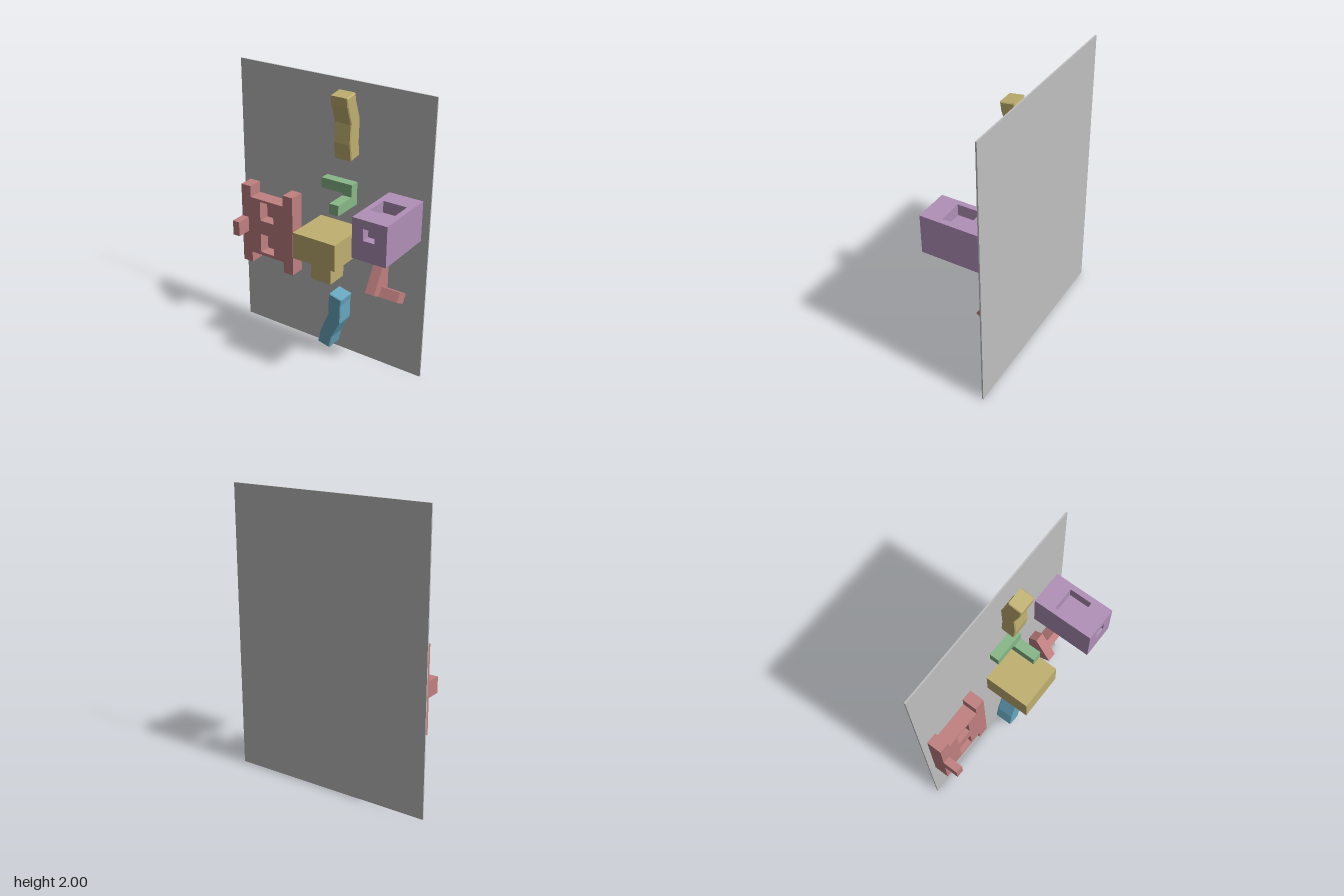
import * as THREE from 'three';
import { mergeGeometries } from 'three/addons/utils/BufferGeometryUtils.js';

const material = (name, color) => {
  const m = new THREE.MeshStandardMaterial({ color });
  m.name = name;
  return m;
};

const BACK = -0.217; // parts meet the panel here

const makeShape = (points) => new THREE.Shape(points.map(([x, y]) => new THREE.Vector2(x, y)));
const rect = (x0, x1, y0, y1) => [[x0, y0], [x1, y0], [x1, y1], [x0, y1]];

// Front outline, extruded from z0 to z1, with optional small bevel
function extrudeZ(shape, z0, z1, bevel = 0) {
  const g = new THREE.ExtrudeGeometry(shape, {
    depth: z1 - z0 - 2 * bevel, bevelEnabled: bevel > 0, bevelSize: bevel,
    bevelThickness: bevel, bevelOffset: -bevel, bevelSegments: 1,
  });
  return g.translate(0, 0, z0 + bevel);
}

// Side outline given as [z, y], extruded from x0 to x1
function extrudeX(points, x0, x1, bevel = 0) {
  return extrudeZ(makeShape(points.map(([z, y]) => [-z, y])), x0, x1, bevel).rotateY(Math.PI / 2);
}

function box(x0, x1, y0, y1, z0, z1) {
  return new THREE.BoxGeometry(x1 - x0, y1 - y0, z1 - z0)
    .translate((x0 + x1) / 2, (y0 + y1) / 2, (z0 + z1) / 2);
}

// One face of a block, looking along +z, with an optional square pit sunk into it
function face(w, h, offset, pit) {
  const shape = makeShape(rect(-w / 2, w / 2, -h / 2, h / 2));
  const parts = [];
  if (pit) {
    const [x0, x1, y0, y1, depth] = pit;
    shape.holes.push(new THREE.Path(rect(x0, x1, y0, y1).map(([x, y]) => new THREE.Vector2(x, y))));
    const inner = box(x0, x1, y0, y1, -depth, 0);
    // drop the opening, then turn the walls inward
    const idx = Array.from(inner.index.array).filter((_, i) => i < 24 || i >= 30);
    for (let i = 0; i < idx.length; i += 3) [idx[i], idx[i + 1]] = [idx[i + 1], idx[i]];
    inner.setIndex(idx);
    const n = inner.attributes.normal;
    for (let i = 0; i < n.array.length; i++) n.array[i] *= -1;
    parts.push(inner);
  }
  parts.push(new THREE.ShapeGeometry(shape));
  return mergeGeometries(parts.map((g) => g.toNonIndexed())).translate(0, 0, offset);
}

export function createModel() {
  const model = new THREE.Group();
  model.name = 'wallOfBlocks';
  const grey = material('panelGrey', 0xc0c0c0);
  const red = material('dustyRed', 0xc08080);
  const yellow = material('ochreYellow', 0xc0b070);
  const green = material('softGreen', 0x88b888);
  const purple = material('softPurple', 0xb090b8);
  const blue = material('softBlue', 0x68a8c0);

  const add = (name, geometry, mat, parent = model) => {
    const mesh = new THREE.Mesh(geometry, mat);
    mesh.name = name;
    parent.add(mesh);
    return mesh;
  };
  const group = (name) => {
    const g = new THREE.Group();
    g.name = name;
    model.add(g);
    return g;
  };

  // Backing panel
  add('backPanel', box(-0.74, 0.74, 0, 2, -0.225, -0.215), grey);

  // H-shaped frame with two pockets and a peg
  const frame = group('frame');
  const outline = [
    [-0.69, 0.53], [-0.61, 0.53], [-0.61, 0.612], [-0.33, 0.612], [-0.33, 0.53], [-0.25, 0.53],
    [-0.25, 1.13], [-0.33, 1.13], [-0.33, 1.047], [-0.61, 1.047], [-0.61, 1.13], [-0.69, 1.13],
  ];
  const pocketed = makeShape(outline);
  for (const [y0, y1] of [[0.635, 0.78], [0.885, 1.03]]) {
    pocketed.holes.push(makeShape(rect(-0.53, -0.415, y0, y1)));
  }
  add('frameBack', extrudeZ(makeShape(outline), BACK, -0.19), red, frame);
  add('frameFront', extrudeZ(pocketed, -0.19, -0.107), red, frame);
  add('framePeg', box(-0.69, -0.635, 0.775, 0.885, -0.107, 0.002), red, frame);

  // Bent bar at the top, curving forward
  add('upperBentBar', extrudeX([
    [-0.056, 1.933], [-0.066, 1.87], [-0.108, 1.75], [-0.1, 1.615], [-0.116, 1.502],
    [-0.212, 1.515], [-0.204, 1.62], [-0.21, 1.77], [-0.165, 1.89], [-0.153, 1.947],
  ], 0.085, 0.212, 0.006), yellow);

  // Bent bar at the bottom, curving sideways
  add('lowerBentBar', extrudeZ(makeShape([
    [0.077, 0.503], [0.066, 0.42], [0.066, 0.333], [0.005, 0.185], [-0.018, 0.078],
    [0.077, 0.058], [0.1, 0.155], [0.167, 0.29], [0.169, 0.43], [0.177, 0.48],
  ]), -0.215, -0.082, 0.006), blue);

  // Three-way angled bracket
  const elbow = group('elbowBracket');
  add('elbowBar', box(-0.035, 0.2, 1.253, 1.325, BACK, -0.147), green, elbow);
  add('elbowPost', box(0.13, 0.2, 1.165, 1.253, BACK, -0.147), green, elbow);
  add('elbowArm', box(0.13, 0.2, 1.165, 1.238, -0.147, 0.01), green, elbow);

  // Large block with a smaller one hanging below
  const stack = group('steppedBlock');
  add('largeBlock', box(-0.085, 0.245, 0.82, 1.01, BACK, 0.115), yellow, stack);
  add('hangingBlock', box(0, 0.16, 0.655, 0.82, -0.125, 0.03), yellow, stack);

  // Tilted L bracket, cut off by the panel
  const bracket = group('tiltedBracket');
  add('bracketPost', extrudeX([
    [-0.153, 0.837], [-0.037, 0.637], [-0.18, 0.553], [BACK, 0.615], [BACK, 0.8],
  ], 0.388, 0.458), red, bracket);
  add('bracketFoot', extrudeX([
    [-0.135, 0.66], [-0.1, 0.6], [-0.18, 0.553], [BACK, 0.615],
  ], 0.458, 0.597), red, bracket);

  // Long block with pits in its front, top and underside
  const w = 0.245, h = 0.278, d = 0.442;
  const pitted = mergeGeometries([
    face(w, h, d / 2, [-0.043, 0.038, 0, 0.08, 0.06]),
    face(w, d, h / 2, [-0.085, 0.083, -0.083, 0.083, 0.08]).rotateX(-Math.PI / 2),
    face(w, d, h / 2, [-0.065, 0.025, 0.075, 0.2, 0.06]).rotateX(Math.PI / 2),
    face(d, h, w / 2).rotateY(Math.PI / 2),
    face(d, h, w / 2).rotateY(-Math.PI / 2),
    face(w, h, d / 2).rotateY(Math.PI),
  ]);
  add('pittedBlock', pitted.translate(0.5625, 1.175, 0.004), purple);

  return model;
}
